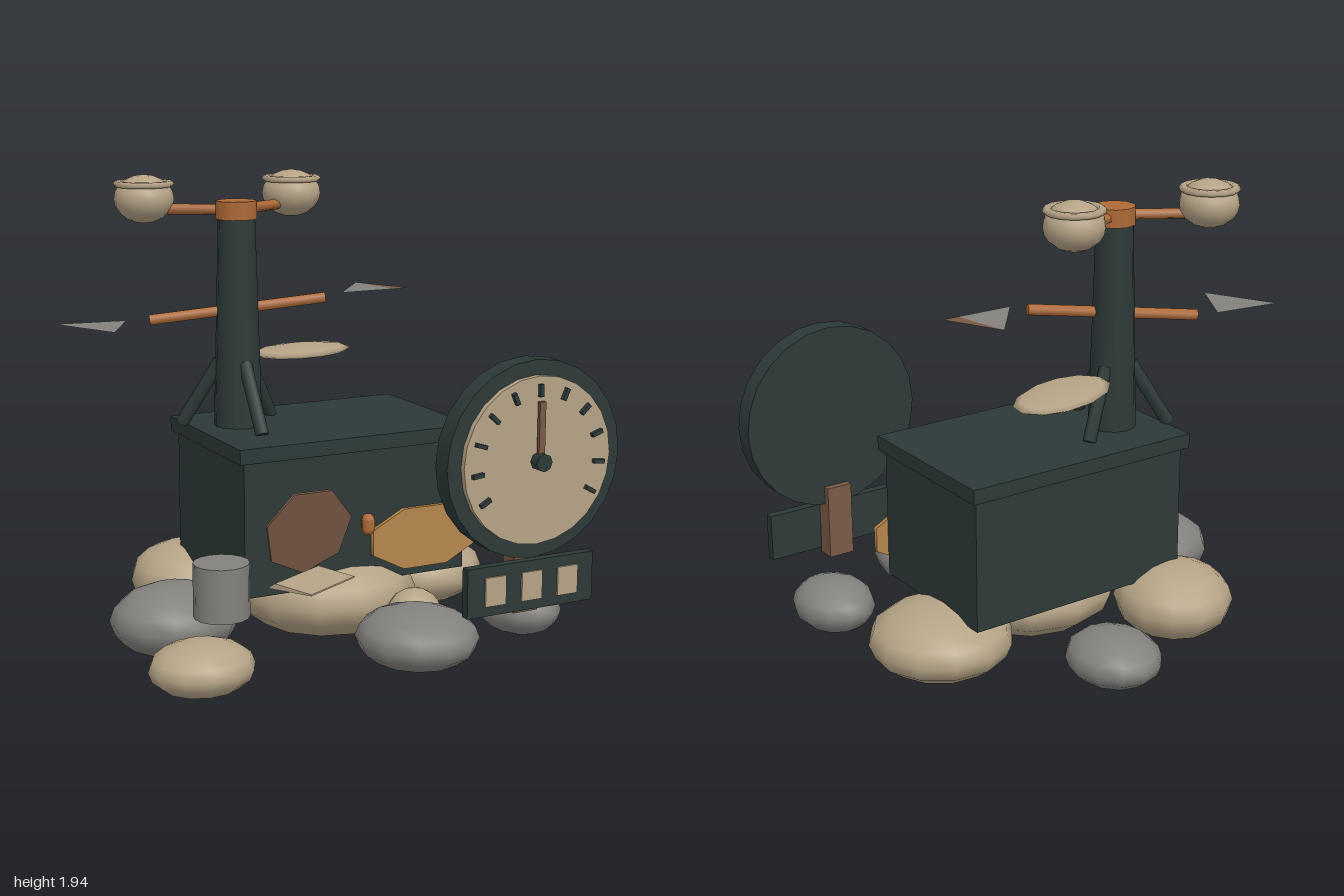
import * as THREE from 'three';

const mat = (name, color, opts = {}) => {
  const m = new THREE.MeshStandardMaterial({ color, ...opts });
  m.name = name;
  return m;
};

export function createModel() {
  const root = new THREE.Group();
  root.name = 'weatherStation';
  const dark = mat('darkSlate', 0x2c3938);
  const tan = mat('sandstone', 0xb5a386);
  const grey = mat('grey', 0x83817d, { side: THREE.DoubleSide });
  const copper = mat('copper', 0xae6a38);
  const brown = mat('brown', 0x7b5a46, { side: THREE.DoubleSide });
  const ochre = mat('ochre', 0xb5854c);

  const add = (name, geo, material, x = 0, y = 0, z = 0, parent = root) => {
    const mesh = new THREE.Mesh(geo, material);
    mesh.name = name;
    mesh.position.set(x, y, z);
    parent.add(mesh);
    return mesh;
  };
  const box = (name, m, w, h, d, x, y, z, parent) =>
    add(name, new THREE.BoxGeometry(w, h, d), m, x, y, z, parent);
  // straight rod between two points
  const rod = (name, m, a, b, r, sides = 6) => {
    const p = new THREE.Vector3(...a), q = new THREE.Vector3(...b);
    const mesh = add(name, new THREE.CylinderGeometry(r, r, p.distanceTo(q), sides), m);
    mesh.position.copy(p).lerp(q, 0.5);
    mesh.quaternion.setFromUnitVectors(new THREE.Vector3(0, 1, 0), q.sub(p).normalize());
    return mesh;
  };

  // rocks: centre, radii, material
  const rocks = [
    [0.05, 0.2, 0.0, 0.39, 0.195, 0.39, tan],
    [0.6, 0.16, -0.18, 0.3, 0.15, 0.3, tan],
    [-0.39, 0.175, -0.46, 0.25, 0.16, 0.26, tan],
    [0.08, 0.12, -0.66, 0.19, 0.11, 0.215, grey],
    [-0.655, 0.165, 0.035, 0.27, 0.15, 0.245, grey],
    [-0.735, 0.12, 0.505, 0.215, 0.11, 0.19, tan],
    [0.165, 0.135, 0.6, 0.25, 0.125, 0.26, grey],
    [0.263, 0.17, 0.4, 0.115, 0.095, 0.1, tan],
    [0.765, 0.122, 0.42, 0.17, 0.113, 0.2, grey],
  ];
  rocks.forEach(([x, y, z, rx, ry, rz, m], i) => {
    const g = new THREE.SphereGeometry(1, 12, 8).rotateY(i * 0.7);
    add('rock', g.scale(rx, ry, rz), m, x, y, z);
  });

  // cabinet
  box('cabinetBody', dark, 1.02, 0.56, 0.68, 0.075, 0.555, -0.09);
  box('cabinetLid', dark, 1.07, 0.062, 0.725, 0.075, 0.868, -0.093);

  // mast with three braces
  const mx = -0.267, mz = -0.177;
  add('mast', new THREE.CylinderGeometry(0.077, 0.102, 0.88, 12), dark, mx, 1.335, mz);
  for (let i = 0; i < 3; i++) {
    const a = Math.PI / 2 + (i * Math.PI * 2) / 3, c = Math.cos(a), s = Math.sin(a);
    rod('mastBrace', dark, [mx + c * 0.24, 0.9, mz + s * 0.24], [mx + c * 0.075, 1.17, mz + s * 0.075], 0.028);
  }

  // cup rotor
  add('rotorHub', new THREE.CylinderGeometry(0.086, 0.086, 0.075, 10), copper, mx, 1.802, mz);
  for (const [x, z] of [[-0.595, -0.375], [0.075, -0.365]]) {
    rod('rotorArm', copper, [mx, 1.802, mz], [x, 1.802, z], 0.022);
    add('cup', new THREE.SphereGeometry(1, 14, 10).scale(0.125, 0.1, 0.125), tan, x, 1.843, z);
    add('cupRim', new THREE.TorusGeometry(0.107, 0.02, 6, 14).rotateX(Math.PI / 2).scale(1, 0.7, 1), tan, x, 1.905, z);
  }

  // wind vane bar and flat flags
  rod('vaneBar', copper, [-0.61, 1.35, -0.3], [0.08, 1.432, -0.055], 0.023, 8);
  const flag = (name, m, y, ...pts) => {
    const g = new THREE.BufferGeometry();
    g.setAttribute('position', new THREE.Float32BufferAttribute(pts.flatMap(([x, z]) => [x, y, z]), 3));
    g.computeVertexNormals();
    add(name, g, m);
  };
  flag('leftFlag', grey, 1.35, [-1, -0.37], [-0.85, -0.064], [-0.7, -0.33]);
  flag('rightFlag', grey, 1.45, [0.347, -0.283], [0.144, -0.027], [0.395, -0.027]);
  flag('rightFlagEdge', brown, 1.45, [0.347, -0.283], [0.395, -0.027], [0.47, -0.027]);

  // floating oval dish
  const dish = add('ovalDish', new THREE.SphereGeometry(1, 12, 6).scale(0.258, 0.026, 0.15), tan, 0.117, 1.158, -0.35);
  dish.rotation.set(0, 0.3, -0.02);

  // dial gauge
  const dial = new THREE.Group();
  dial.name = 'dial';
  dial.position.set(0.595, 0.857, 0);
  root.add(dial);
  const disc = (name, m, r, depth, z, sides, parent) =>
    add(name, new THREE.CylinderGeometry(r, r, depth, sides).rotateX(Math.PI / 2), m, 0, 0, z, parent);
  disc('dialCase', dark, 0.404, 0.09, 0.725, 24, dial);
  disc('dialFace', tan, 0.342, 0.025, 0.7825, 24, dial);
  for (let i = -5; i <= 5; i++) {
    const a = (i * 24 * Math.PI) / 180;
    const tick = box('dialTick', dark, 0.017, 0.05, 0.018, Math.sin(a) * 0.285, Math.cos(a) * 0.285, 0.804, dial);
    tick.rotation.z = -a;
  }
  box('dialPointer', brown, 0.028, 0.24, 0.016, 0, 0.122, 0.812, dial);
  disc('dialPivot', dark, 0.037, 0.045, 0.818, 8, dial);

  // post and window sign under the dial
  box('dialPost', brown, 0.115, 0.325, 0.085, 0.592, 0.378, 0.692);
  box('signBoard', dark, 0.595, 0.205, 0.04, 0.592, 0.338, 0.75);
  for (let i = -1; i <= 1; i++) {
    box('signWindow', tan, 0.096, 0.12, 0.009, 0.593 + i * 0.171, 0.337, 0.7745);
  }

  // leaning hatch, oval plate and knob on the cabinet front
  const hatch = disc('hatch', brown, 0.195, 0.012, 0, 7, root);
  hatch.geometry.rotateZ(Math.PI);
  if (hatch.geometry) hatch.geometry.rotateZ(-Math.PI / 2 * 2);
  hatch.position.set(-0.178, 0.545, 0.305);
  hatch.rotation.x = 0.25;
  const plate = disc('ovalPlate', ochre, 1, 0.02, 0, 8, root);
  plate.geometry.rotateZ(Math.PI / 8).scale(0.27, 0.14, 1);
  plate.position.set(0.39, 0.44, 0.262);
  add('knob', new THREE.CapsuleGeometry(0.029, 0.035, 3, 8), copper, 0.1, 0.535, 0.3);
  box('knobStem', copper, 0.02, 0.02, 0.06, 0.1, 0.535, 0.27);

  // can and loose wedge panel beside the rocks
  add('can', new THREE.CylinderGeometry(0.11, 0.11, 0.215, 16), grey, -0.652, 0.423, 0.51);
  const wedge = new THREE.Shape([[-0.104, -0.012], [0.104, -0.006], [0.104, 0], [-0.068, 0.013]]
    .map(([x, y]) => new THREE.Vector2(x, y)));
  const panel = add('loosePanel',
    new THREE.ExtrudeGeometry(wedge, { depth: 0.29, bevelEnabled: false }).translate(0, 0, -0.145).rotateY(-Math.PI / 2),
    tan, -0.308, 0.432, 0.592);
  panel.rotation.y = 0.49;

  return root;
}
